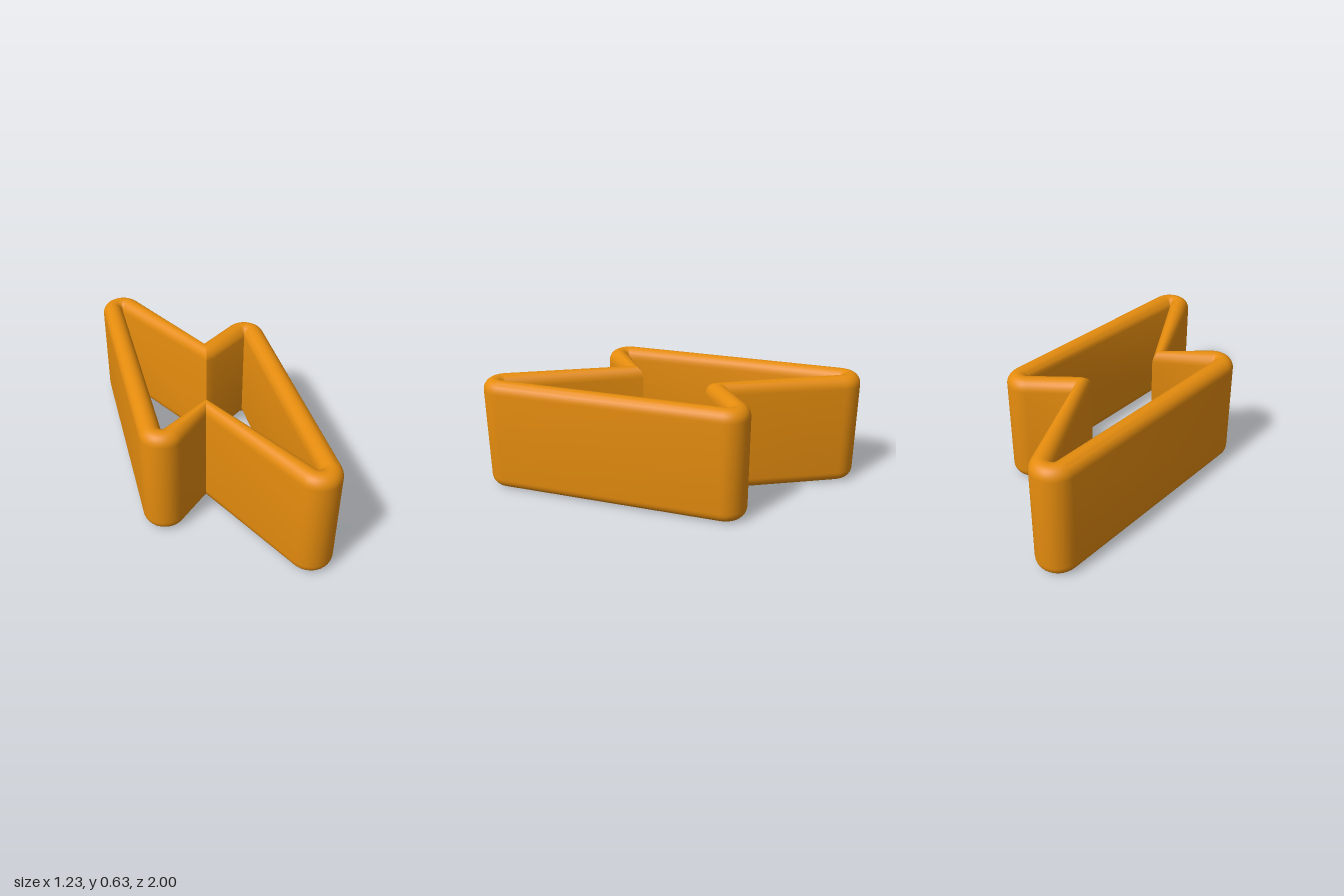
import * as THREE from 'three';
import { toCreasedNormals } from 'three/addons/utils/BufferGeometryUtils.js';

const HEIGHT = 0.635, ROUND = 0.062, WALL = 0.118;

// A sharp inner corner with a round outer corner; angles in degrees, in the x-z plane
function tip(x, z, from, to, steps = 14) {
  const stations = [];
  for (let i = 0; i <= steps; i++) {
    const a = THREE.MathUtils.degToRad(from + (to - from) * i / steps);
    stations.push({ inner: [x, z], outer: [x + WALL * Math.cos(a), z + WALL * Math.sin(a)] });
  }
  return stations;
}

// Upright wall section with rounded rims: [across (-1 inner, 1 outer), height]
function wallSection(steps = 14) {
  const section = [];
  for (const top of [true, false]) {
    for (let i = 0; i <= steps; i++) {
      const a = Math.PI * i / steps + (top ? 0 : Math.PI);
      section.push([Math.cos(a), (top ? HEIGHT - ROUND : ROUND) + ROUND * Math.sin(a)]);
    }
  }
  return section;
}

// Closed band joining the section at every station
function bandGeometry(stations, section) {
  const rings = stations.map(({ inner, outer }) => section.map(([s, y]) => {
    const k = (1 + s) / 2;
    return new THREE.Vector3(
      inner[0] + (outer[0] - inner[0]) * k, y, inner[1] + (outer[1] - inner[1]) * k);
  }));
  const positions = [];
  const face = new THREE.Triangle();
  const add = (a, b, c) => {
    face.set(a, b, c);
    if (face.getArea() > 1e-9) for (const p of [a, b, c]) positions.push(p.x, p.y, p.z);
  };
  rings.forEach((ring, i) => {
    const next = rings[(i + 1) % rings.length];
    ring.forEach((p, j) => {
      const k = (j + 1) % ring.length;
      add(p, ring[k], next[k]);
      add(p, next[k], next[j]);
    });
  });
  const geometry = new THREE.BufferGeometry();
  geometry.setAttribute('position', new THREE.Float32BufferAttribute(positions, 3));
  return toCreasedNormals(geometry, Math.PI / 5);
}

export function createModel() {
  const group = new THREE.Group();
  group.name = 'lightningBoltRing';
  const orange = new THREE.MeshStandardMaterial({ color: 0xe58c0e });
  orange.name = 'orange';

  // Clockwise from the rear tip, as seen from above
  const stations = [
    ...tip(0.275, -0.88, -141.3, 11),
    { inner: [0.16, -0.125], outer: [0.255, -0.225] },
    { inner: [0.2, -0.107], outer: [0.255, -0.225] },
    ...tip(0.497, -0.107, -90, 38.7),
    ...tip(-0.275, 0.88, 38.7, 191),
    { inner: [-0.165, 0.124], outer: [-0.25, 0.19] },
    ...tip(-0.497, 0.104, 85, 218.7),
  ];
  const wall = new THREE.Mesh(bandGeometry(stations, wallSection()), orange);
  wall.name = 'boltWall';
  group.add(wall);
  return group;
}
